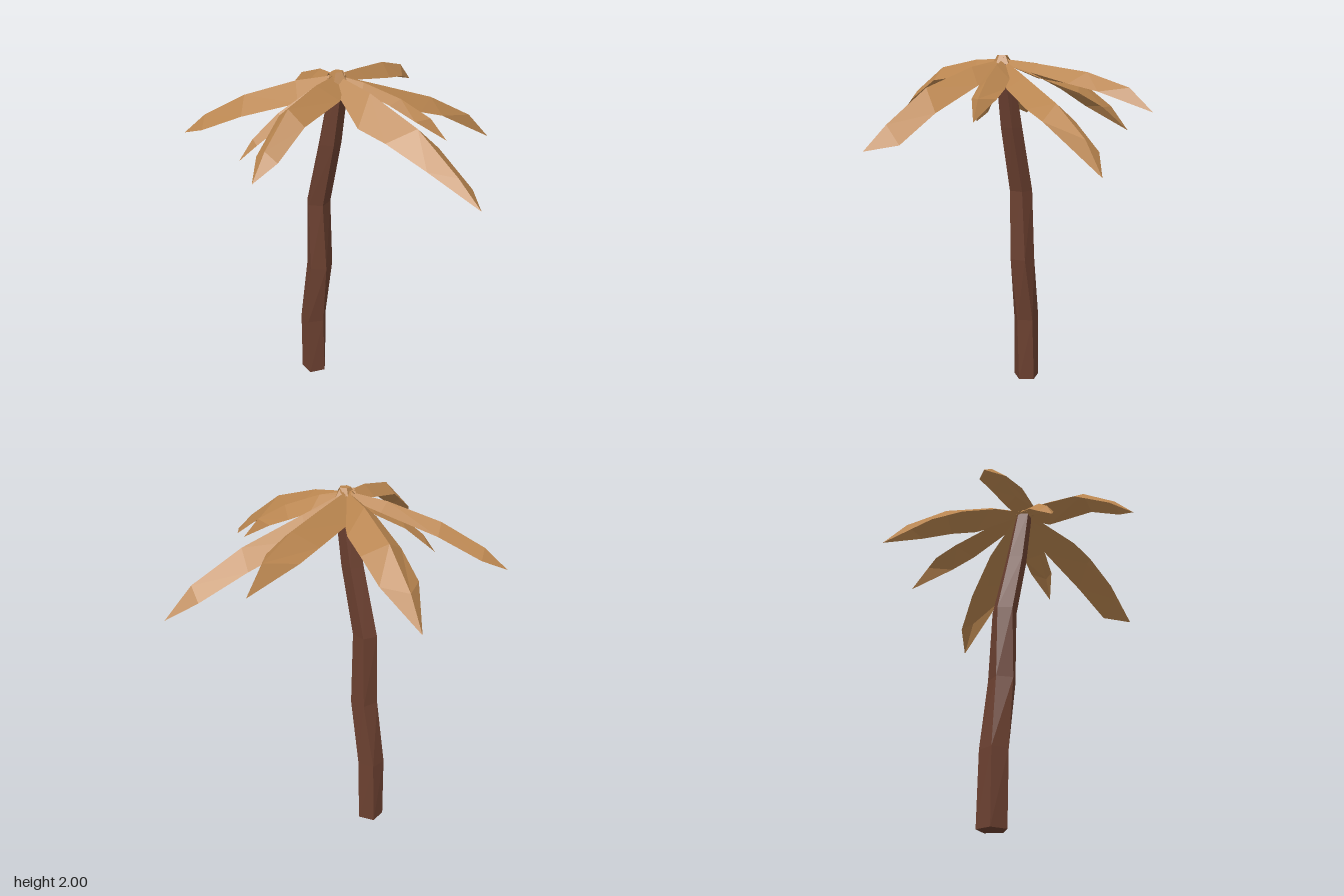
import * as THREE from 'three';

const bark = new THREE.MeshStandardMaterial({ color: 0x6b4030, flatShading: true });
const leaf = new THREE.MeshStandardMaterial({ color: 0xb9854f, flatShading: true, side: THREE.DoubleSide });

// Trunk rings from the ground up: [x, y, z, radius, twist]
const RINGS = [
  [-0.08, 0, -0.315, 0.08, 0.0],
  [-0.08, 0.4, -0.305, 0.08, 0.1],
  [-0.077, 0.8, -0.25, 0.078, 0.35],
  [-0.08, 1.22, -0.243, 0.07, 0.5],
  [-0.08, 1.6, -0.15, 0.064, 0.55],
  [-0.08, 1.95, -0.08, 0.05, 0.6],
];

// Five-sided cylinder whose rows are moved onto the rings
function makeTrunk() {
  const n = RINGS.length - 1;
  const geo = new THREE.CylinderGeometry(1, 1, 1, 5, n);
  const p = geo.attributes.position;
  for (let i = 0; i < p.count; i++) {
    const [x, y, z, r, twist] = RINGS[Math.round((p.getY(i) + 0.5) * n)];
    const c = Math.cos(twist), s = Math.sin(twist);
    const px = p.getX(i), pz = p.getZ(i);
    p.setXYZ(i, x + r * (px * c - pz * s), y, z + r * (px * s + pz * c));
  }
  geo.computeVertexNormals();
  const mesh = new THREE.Mesh(geo, bark);
  mesh.name = 'trunk';
  return mesh;
}

const ROOT = new THREE.Vector3(-0.09, 1.98, -0.09);
const STATIONS = [0.25, 0.58, 0.85];

// Fronds: tip, ridge heights at the stations, and both edges as [share of length, half width]
const FRONDS = [
  { tip: [0.78, 1.72, -0.2], ridge: [1.955, 1.915, 1.84], a: [[0.24, 0.06], [0.5, 0.085], [0.69, 0.08]], b: [[0.18, 0.11], [0.5, 0.11], [0.68, 0.1]] },
  { tip: [0.81, 1.46, 0.34], ridge: [1.89, 1.77, 1.62], a: [[0.22, 0.093], [0.45, 0.1], [0.6, 0.09]], b: [[0.27, 0.107], [0.59, 0.105], [0.845, 0.083]] },
  { tip: [0.13, 1.68, 0.44], ridge: [1.95, 1.88, 1.79], a: [[0.25, 0.04], [0.5, 0.05], [0.73, 0.055]], b: [[0.3, 0.08], [0.5, 0.085], [0.69, 0.073]] },
  { tip: [0.31, 1.55, -0.82], ridge: [1.955, 1.86, 1.7], a: [[0.32, 0.116], [0.5, 0.115], [0.71, 0.1]], b: [[0.245, 0.07], [0.5, 0.1], [0.71, 0.106]] },
  { tip: [-0.47, 1.62, -0.84], ridge: [1.94, 1.85, 1.73], a: [[0.22, 0.06], [0.57, 0.073], [0.84, 0.066]], b: [[0.21, 0.11], [0.57, 0.105], [0.845, 0.077]] },
  { tip: [-0.23, 1.55, 0.84], ridge: [1.94, 1.84, 1.67], a: [[0.31, 0.14], [0.48, 0.12], [0.72, 0.08]], b: [[0.3, 0.1], [0.62, 0.118], [0.855, 0.11]] },
  { tip: [-0.53, 1.59, -0.38], ridge: [1.92, 1.82, 1.7], a: [[0.25, 0.07], [0.59, 0.06], [0.86, 0.052]], b: [[0.29, 0.045], [0.61, 0.057], [0.83, 0.04]] },
  { tip: [-0.81, 1.67, -0.02], ridge: [1.975, 1.93, 1.79], a: [[0.23, 0.07], [0.55, 0.07], [0.84, 0.056]], b: [[0.17, 0.1], [0.58, 0.09], [0.84, 0.065]] },
];

// Folded blade: a ridge with two drooping sides that meet at the tip
function makeFrond({ tip, ridge, a, b }, index) {
  const end = new THREE.Vector3(...tip);
  const run = new THREE.Vector2(end.x - ROOT.x, end.z - ROOT.z);
  const len = run.length();
  const [ux, uz] = [run.x / len, run.y / len];
  const ts = [0, ...STATIONS, 1], ys = [ROOT.y, ...ridge, end.y];
  const heightAt = (t) => {
    let k = 0;
    while (k < 3 && t > ts[k + 1]) k++;
    return THREE.MathUtils.mapLinear(t, ts[k], ts[k + 1], ys[k], ys[k + 1]);
  };
  const point = (t, w) => [
    ROOT.x + ux * t * len - uz * w,
    heightAt(t) - 0.8 * Math.abs(w),
    ROOT.z + uz * t * len + ux * w,
  ];
  const stub = -0.04 / len;
  const rows = [[point(stub, -0.025), point(stub, 0), point(stub, 0.025)]];
  STATIONS.forEach((t, i) => rows.push([point(b[i][0], -b[i][1]), point(t, 0), point(a[i][0], a[i][1])]));
  rows.push([tip, tip, tip]);

  const index3 = [];
  for (let r = 0; r < rows.length - 1; r++) {
    for (let c = 0; c < 2; c++) {
      const q = r * 3 + c;
      index3.push(q, q + 1, q + 4);
      if (r < rows.length - 2) index3.push(q, q + 4, q + 3);
      else index3.splice(-3, 3, q, q + 1, q + 3);
    }
  }
  // Upper side faces up
  for (let i = 0; i < index3.length; i += 3) [index3[i + 1], index3[i + 2]] = [index3[i + 2], index3[i + 1]];
  const geo = new THREE.BufferGeometry();
  geo.setAttribute('position', new THREE.Float32BufferAttribute(rows.flat(2), 3));
  geo.setIndex(index3);
  geo.computeVertexNormals();
  const mesh = new THREE.Mesh(geo, leaf);
  mesh.name = `frond${index + 1}`;
  return mesh;
}

export function createModel() {
  const group = new THREE.Group();
  group.name = 'palmTree';
  group.add(makeTrunk());

  const crown = new THREE.Group();
  crown.name = 'crown';
  FRONDS.forEach((f, i) => crown.add(makeFrond(f, i)));

  // Small knot where the fronds meet
  const knot = new THREE.Mesh(new THREE.CylinderGeometry(0.03, 0.06, 0.05, 5), leaf);
  knot.name = 'crownKnot';
  knot.position.set(-0.09, 1.975, -0.08);
  crown.add(knot);
  group.add(crown);
  return group;
}
